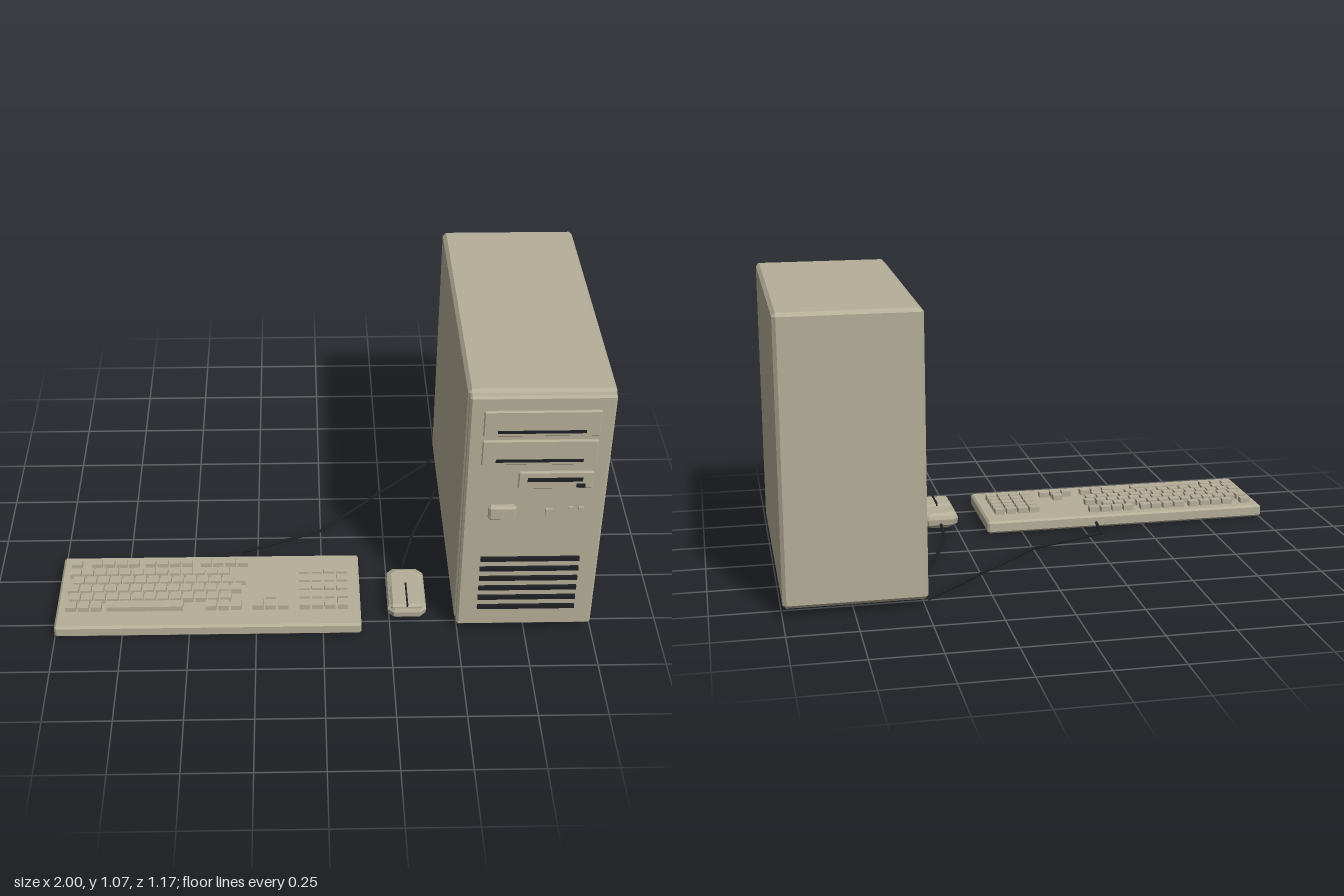
import * as THREE from 'three';
import { mergeGeometries } from 'three/addons/utils/BufferGeometryUtils.js';
import { ConvexGeometry } from 'three/addons/geometries/ConvexGeometry.js';

const beige = new THREE.MeshStandardMaterial({ name: 'beigePlastic', color: 0xb5ae98 });
const dark = new THREE.MeshStandardMaterial({ name: 'darkPlastic', color: 0x1d2023 });

// All boxes are given by their limits: [x0, x1, y0, y1, z0, z1]
const centre = ([x0, x1, y0, y1, z0, z1]) => [(x0 + x1) / 2, (y0 + y1) / 2, (z0 + z1) / 2];

function boxGeometry(b) {
  return new THREE.BoxGeometry(b[1] - b[0], b[3] - b[2], b[5] - b[4]).translate(...centre(b));
}

// Box with every edge chamfered by c
function chamferGeometry(b, c) {
  const w = (b[1] - b[0]) / 2, h = (b[3] - b[2]) / 2, d = (b[5] - b[4]) / 2;
  const pts = [];
  for (const x of [-1, 1]) for (const y of [-1, 1]) for (const z of [-1, 1]) {
    pts.push(new THREE.Vector3(x * w, y * (h - c), z * (d - c)));
    pts.push(new THREE.Vector3(x * (w - c), y * h, z * (d - c)));
    pts.push(new THREE.Vector3(x * (w - c), y * (h - c), z * d));
  }
  return new ConvexGeometry(pts).translate(...centre(b));
}

function add(group, name, geometry, material) {
  const mesh = new THREE.Mesh(geometry, material);
  mesh.name = name;
  group.add(mesh);
}

function subgroup(parent, name) {
  const g = new THREE.Group();
  g.name = name;
  parent.add(g);
  return g;
}

function buildTower(parent) {
  const g = subgroup(parent, 'tower');
  add(g, 'case', chamferGeometry([0.49, 0.998, 0.033, 1.07, -0.582, 0.533], 0.013), beige);
  add(g, 'frontPanel', chamferGeometry([0.494, 0.994, 0.037, 1.064, 0.531, 0.564], 0.008), beige);

  // Two wide drive bays and a floppy drive
  for (const y of [0.905, 0.783]) {
    add(g, 'driveBay', chamferGeometry([0.545, 0.946, y, y + 0.104, 0.555, 0.573], 0.004), beige);
    add(g, 'driveSlot', boxGeometry([0.594, 0.898, y + 0.015, y + 0.026, 0.569, 0.576]), dark);
  }
  add(g, 'floppyDrive', chamferGeometry([0.679, 0.941, 0.679, 0.752, 0.555, 0.573], 0.004), beige);
  add(g, 'floppySlot', boxGeometry([0.711, 0.904, 0.712, 0.728, 0.569, 0.576]), dark);
  add(g, 'ejectButton', boxGeometry([0.883, 0.914, 0.687, 0.701, 0.569, 0.578]), dark);

  // Power button, reset button and two indicators
  add(g, 'powerButton', chamferGeometry([0.582, 0.68, 0.546, 0.606, 0.555, 0.584], 0.008), beige);
  add(g, 'resetButton', boxGeometry([0.784, 0.81, 0.566, 0.588, 0.56, 0.575]), beige);
  for (const x of [0.864, 0.902]) {
    add(g, 'indicator', boxGeometry([x, x + 0.018, 0.582, 0.594, 0.56, 0.571]), beige);
  }

  // Cooling vents
  for (let i = 0; i < 6; i++) {
    const y = 0.131 + i * 0.0455;
    add(g, 'vent', boxGeometry([0.567, 0.925, y - 0.008, y + 0.008, 0.561, 0.575]), dark);
  }

  // Feet
  for (const x of [0.517, 0.898]) for (const z of [-0.48, 0.383]) {
    add(g, 'foot', boxGeometry([x, x + 0.077, 0.004, 0.036, z, z + 0.077]), dark);
  }
}

function buildKeyboard(parent) {
  const g = subgroup(parent, 'keyboard');
  add(g, 'keyboardBase', chamferGeometry([-1, 0.142, 0.007, 0.056, 0.17, 0.575], 0.008), beige);

  const pitch = 0.0475, width = 0.04;
  const keys = [];
  const key = (x, z, w = width, d = 0.037) => keys.push(boxGeometry([x, x + w, 0.05, 0.077, z, z + d]));
  const run = (x, z, n, d) => { for (let i = 0; i < n; i++) key(x + i * pitch, z, width, d); };
  const rowZ = (r) => 0.262 + r * 0.0475;

  // Top row of small keys
  run(-0.965, 0.211, 1, 0.03);
  for (const x of [-0.888, -0.682, -0.468]) run(x, 0.211, 4, 0.03);

  // Main block: start and key count of each row
  [[-0.965, 13], [-0.949, 14], [-0.965, 14], [-0.955, 13]].forEach(([x, n], r) => run(x, rowZ(r), n));

  // Space bar row, arrows and number pad
  run(-0.965, rowZ(4), 3);
  key(-0.81, rowZ(4), 0.285);
  run(-0.44, rowZ(4), 3);
  run(-0.264, rowZ(4), 3);
  run(-0.2165, rowZ(3), 1);
  for (let r = 0; r < 5; r++) run(-0.088, rowZ(r), 4);
  add(g, 'keys', mergeGeometries(keys), beige);
}

function buildMouse(parent) {
  const g = subgroup(parent, 'mouse');
  // Rounded shell from octagonal sections: [height, inset]
  const pts = [];
  for (const [y, inset] of [[0.009, 0.02], [0.025, 0.003], [0.048, 0], [0.062, 0.006], [0.072, 0.022]]) {
    const w = 0.073 - inset, d = 0.12 - inset, c = 0.022;
    for (const sx of [-1, 1]) for (const sz of [-1, 1]) {
      pts.push(new THREE.Vector3(sx * w, y, sz * (d - c)), new THREE.Vector3(sx * (w - c), y, sz * d));
    }
  }
  add(g, 'mouseShell', new ConvexGeometry(pts).translate(0.316, 0, 0.385), beige);
  add(g, 'mouseButtons', chamferGeometry([0.255, 0.377, 0.055, 0.079, 0.377, 0.499], 0.008), beige);
  add(g, 'buttonGap', boxGeometry([0.313, 0.319, 0.07, 0.085, 0.377, 0.5]), dark);
}

// Cable with straight runs between points
function buildCable(parent, name, points) {
  const path = new THREE.CurvePath();
  const v = points.map((p) => new THREE.Vector3(...p));
  for (let i = 1; i < v.length; i++) path.add(new THREE.LineCurve3(v[i - 1], v[i]));
  add(parent, name, new THREE.TubeGeometry(path, 60, 0.006, 8), dark);
}

export function createModel() {
  const model = new THREE.Group();
  model.name = 'desktopComputer';
  buildTower(model);
  buildKeyboard(model);
  buildMouse(model);
  buildCable(model, 'keyboardCable', [[-0.302, 0.028, 0.18], [-0.302, 0.008, 0.09], [0, 0.007, -0.035], [0.487, 0.007, -0.51]]);
  buildCable(model, 'mouseCable', [[0.316, 0.03, 0.28], [0.316, 0.008, 0.182], [0.366, 0.007, 0], [0.485, 0.007, -0.3]]);
  return model;
}
